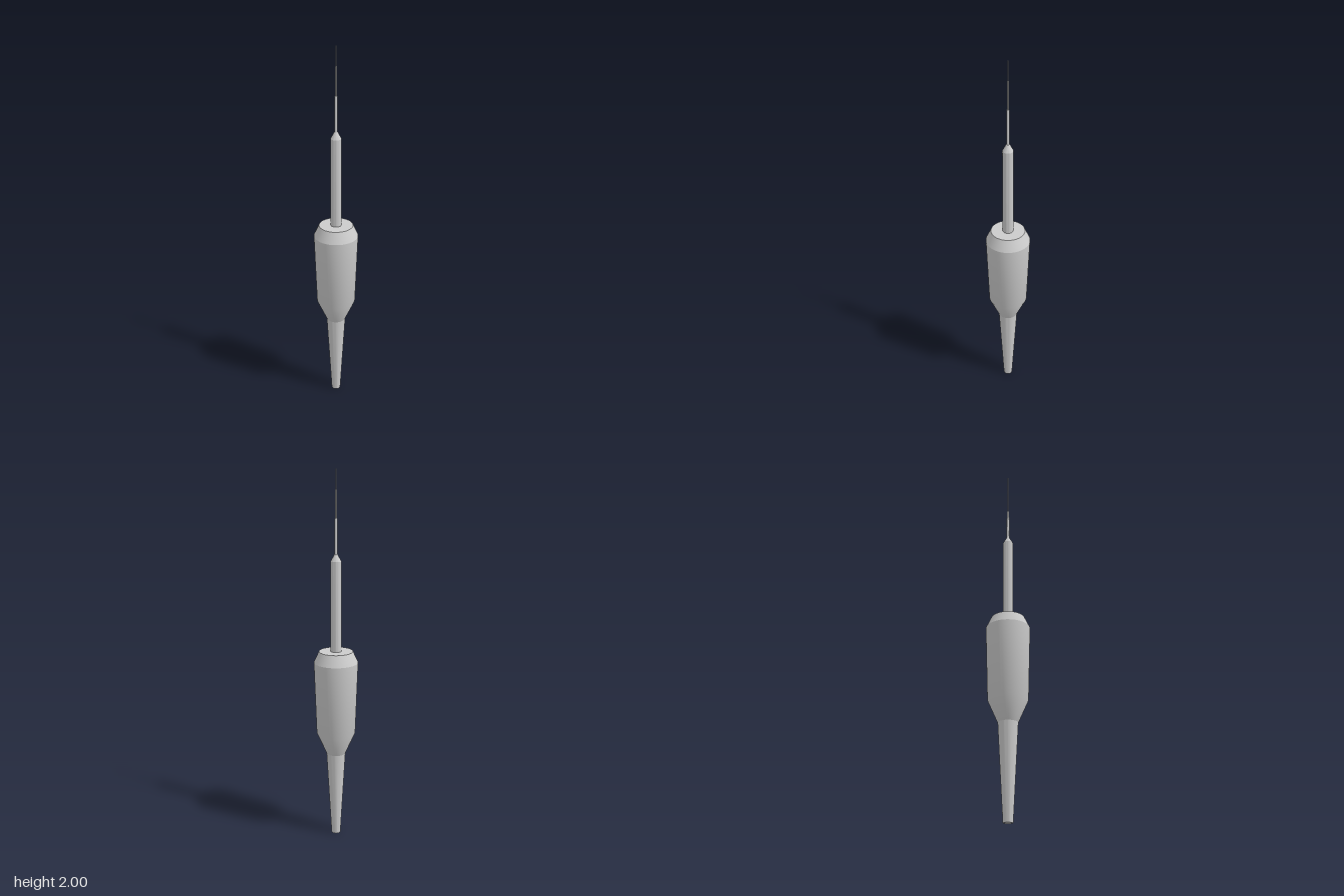
import * as THREE from 'three';
import { toCreasedNormals } from 'three/addons/utils/BufferGeometryUtils.js';

const material = new THREE.MeshStandardMaterial({ color: 0xcccccc });

// Turned part from [radius, height] pairs, listed bottom to top
function turned(name, profile, segments = 48) {
  const points = profile.map(([r, y]) => new THREE.Vector2(r, y));
  const geometry = toCreasedNormals(new THREE.LatheGeometry(points, segments), 0.45);
  const mesh = new THREE.Mesh(geometry, material);
  mesh.name = name;
  return mesh;
}

export function createModel() {
  const model = new THREE.Group();
  model.name = 'probe';

  // Tapered cable sleeve at the foot
  model.add(turned('cableSleeve', [[0, 0], [0.025, 0], [0.052, 0.49]]));

  // Handle: flared neck, long grip, bevelled shoulder and flat top
  model.add(turned('handle', [
    [0.052, 0.49], [0.105, 0.61], [0.118, 1.01], [0.09, 1.07], [0, 1.07],
  ]));

  // Shaft with a conical shoulder
  model.add(turned('shaft', [
    [0.028, 1.07], [0.028, 1.545], [0.009, 1.58], [0, 1.58],
  ], 32));

  // Thin stem stepping down to the needle
  model.add(turned('stem', [[0.008, 1.58], [0.007, 1.76], [0, 1.76]], 24));
  model.add(turned('needle', [[0.004, 1.76], [0.004, 1.9], [0.0025, 1.91], [0.0025, 2], [0, 2]], 16));

  return model;
}
